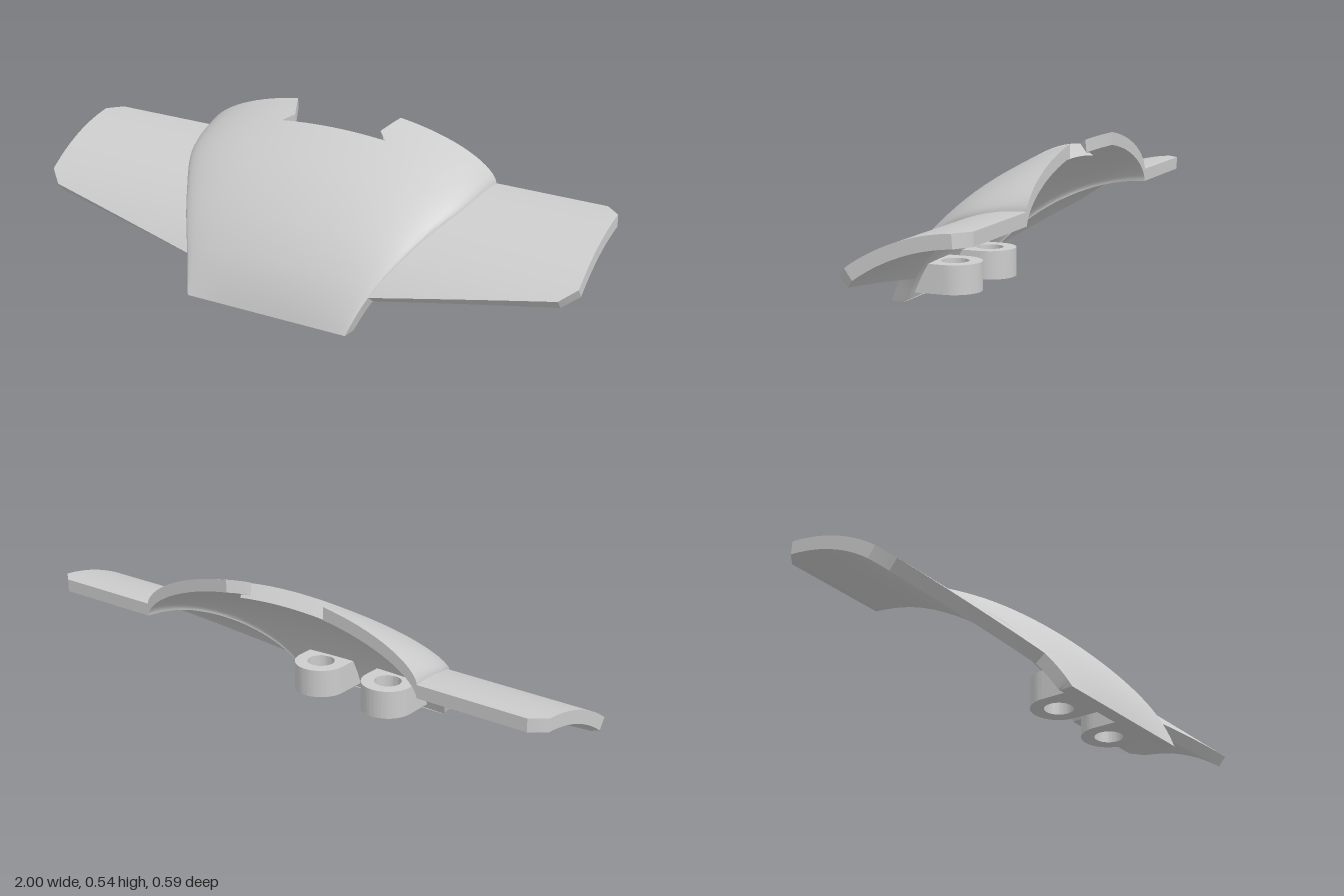
import * as THREE from 'three';
import { toCreasedNormals } from 'three/addons/utils/BufferGeometryUtils.js';

// Arc of the shell: centre line in the z/y plane, radius and thickness
const CZ = -0.295, CY = -0.289, R = 0.657, THICK = 0.044;
const FRONT = 63.9, WING_END = 51.9, NOTCH_END = 8.4, NOTCH_INNER = 5.3;
const RAD = Math.PI / 180;

// Piecewise-linear lookup through [position, value] points
function lookup(points) {
  return (t) => {
    for (let i = 1; i < points.length; i++) {
      const [a, va] = points[i - 1], [b, vb] = points[i];
      if (t <= b) return va + (vb - va) * (t - a) / (b - a);
    }
    return points[points.length - 1][1];
  };
}

// Smooth lookup through [position, value] points
function smooth(points) {
  const curve = new THREE.SplineCurve(points.map(([x, y]) => new THREE.Vector2(x, y)));
  return lookup(curve.getPoints(60).map((p) => [p.x, p.y]));
}

// All measured by angle along the arc, from the back edge (0) to the front edge
const lift = smooth([[0, 0.182], [8.6, 0.143], [15, 0.117], [23.2, 0.0925], [33.2, 0.066], [45.3, 0.04], [52.4, 0.026], [FRONT, 0]]);
const bodyWidth = smooth([[0, 0.56], [17, 0.525], [33.7, 0.44], [WING_END, 0.345], [FRONT, 0.3]]);
const wingWidth = lookup([[0, 0.95], [3.9, 1], [35.5, 1], [40.3, 0.95], [WING_END, 0.345], [FRONT, 0.3]]);
const notchWidth = lookup([[0, 0.2], [6, 0.165], [NOTCH_END, 0.2], [FRONT, 0.16]]);

// Rows: angles, subdivided between the corners of the outline
const rows = [0];
for (const [end, n] of [[3.9, 2], [6, 2], [NOTCH_END, 2], [35.5, 12], [40.3, 3], [WING_END, 6], [FRONT, 7]]) {
  const start = rows[rows.length - 1];
  for (let k = 1; k <= n; k++) rows.push(start + (end - start) * k / n);
}

// Columns: centre strip, dome side, wing; mirrored about the middle
const NA = 6, NB = 16, NC = 3, N = NA + NB + NC;
function columnX(j, t) {
  const k = Math.abs(j), n = notchWidth(t), w = bodyWidth(t);
  let x;
  if (k <= NA) x = n * k / NA;
  else if (k <= NA + NB) x = n + (w - n) * Math.sin((k - NA) / NB * Math.PI / 2);
  else x = w + (wingWidth(t) - w) * (k - NA - NB) / NC;
  return Math.sign(j) * x;
}

function shellPoint(i, j, inner) {
  const t = rows[i], x = columnX(j, t);
  const u = Math.min(1, Math.abs(x) / bodyWidth(t));
  const r = R + lift(t) * Math.pow(1 - u * u, 0.6) - (inner ? THICK : 0);
  let a = t;
  // Flat foot at the front, slanted cut at the notch
  if (inner && i === rows.length - 1) a = Math.acos(-CY / r) / RAD;
  if (inner && t === NOTCH_END && Math.abs(j) <= NA) a = NOTCH_INNER;
  return [x, Math.max(0, CY + r * Math.cos(a * RAD)), CZ + r * Math.sin(a * RAD)];
}

// Which part a grid cell belongs to, or null where the shell is cut away
function cellPart(i, j) {
  if (i < 0 || i >= rows.length - 1 || j < -N || j >= N) return null;
  const k = j < 0 ? -j - 1 : j;
  if (k < NA) return rows[i] < NOTCH_END - 1e-6 ? null : 'body';
  if (k < NA + NB) return 'body';
  if (rows[i] > WING_END - 1e-6) return null;
  return j < 0 ? 'rightWing' : 'leftWing';
}

// Outer skin, inner skin and rim walls of one part
function shellGeometry(part) {
  const pos = [];
  const quad = (a, b, c, d) => pos.push(...a, ...b, ...c, ...a, ...c, ...d);
  for (let i = 0; i < rows.length - 1; i++) {
    for (let j = -N; j < N; j++) {
      if (cellPart(i, j) !== part) continue;
      const corners = [[i, j], [i + 1, j], [i + 1, j + 1], [i, j + 1]];
      const o = corners.map(([p, q]) => shellPoint(p, q, false));
      const n = corners.map(([p, q]) => shellPoint(p, q, true));
      quad(o[0], o[1], o[2], o[3]);
      quad(n[3], n[2], n[1], n[0]);
      const neighbours = [[i, j - 1], [i + 1, j], [i, j + 1], [i - 1, j]];
      neighbours.forEach(([p, q], e) => {
        const f = (e + 1) % 4;
        if (!cellPart(p, q)) quad(o[e], n[e], n[f], o[f]);
      });
    }
  }
  const geometry = new THREE.BufferGeometry();
  geometry.setAttribute('position', new THREE.Float32BufferAttribute(pos, 3));
  return toCreasedNormals(geometry, 0.5);
}

// Mounting lug: rounded block with a vertical hole, front face sloped into the shell
function lugGeometry() {
  const r = 0.093, zc = -0.135;
  const shape = new THREE.Shape();
  shape.moveTo(-r, -0.24);
  shape.lineTo(r, -0.24);
  shape.lineTo(r, zc);
  shape.absarc(0, zc, r, 0, Math.PI, false);
  shape.closePath();
  const hole = new THREE.Path();
  hole.absarc(0, zc, 0.048, 0, Math.PI * 2, true);
  shape.holes.push(hole);
  const geometry = new THREE.ExtrudeGeometry(shape, { depth: 0.1, bevelEnabled: false, curveSegments: 24 });
  geometry.rotateX(-Math.PI / 2).translate(0, 0.02, 0);
  const p = geometry.attributes.position;
  for (let i = 0; i < p.count; i++) {
    if (p.getZ(i) > 0.23) p.setZ(i, p.getY(i) > 0.1 ? 0.2 : 0.25);
  }
  return toCreasedNormals(geometry, 0.5);
}

export function createModel() {
  const model = new THREE.Group();
  model.name = 'curvedCover';
  const grey = new THREE.MeshStandardMaterial({ color: 0xcccccc });
  grey.name = 'lightGrey';

  const add = (name, geometry) => {
    const mesh = new THREE.Mesh(geometry, grey);
    mesh.name = name;
    model.add(mesh);
    return mesh;
  };

  for (const part of ['body', 'leftWing', 'rightWing']) add(part, shellGeometry(part));

  const lug = lugGeometry();
  add('leftLug', lug).position.x = 0.145;
  add('rightLug', lug).position.x = -0.145;
  return model;
}
